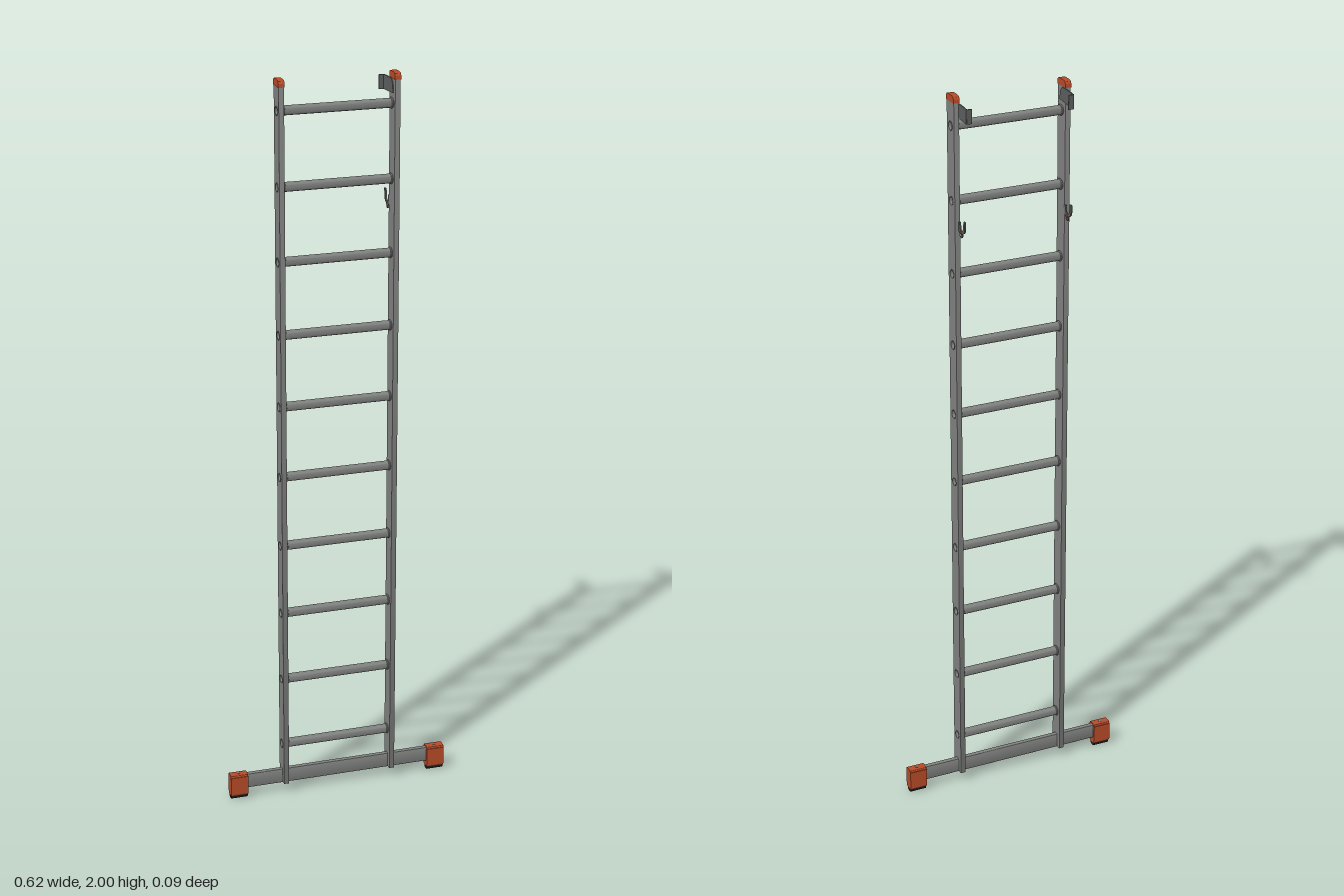
import * as THREE from 'three';
import { toCreasedNormals } from 'three/addons/utils/BufferGeometryUtils.js';

export function createModel() {
  const model = new THREE.Group();
  model.name = 'ladder';

  const mat = (name, color) => {
    const m = new THREE.MeshStandardMaterial({ color });
    m.name = name;
    return m;
  };
  const metal = mat('aluminium grey', 0x7e807e);
  const steel = mat('dark steel', 0x5c5e5d);
  const orange = mat('orange plastic', 0xb64a28);
  const rubber = mat('black rubber', 0x1c1c1c);

  const add = (name, geo, material, x = 0, y = 0, z = 0) => {
    const m = new THREE.Mesh(geo, material);
    m.name = name;
    m.position.set(x, y, z);
    model.add(m);
    return m;
  };

  // Extrudes a profile across x, centred; profile u points backwards (-z), v up
  const across = (shape, width) => {
    const g = new THREE.ExtrudeGeometry(shape, { depth: width, bevelEnabled: false, curveSegments: 12 });
    g.translate(0, 0, -width / 2).rotateY(Math.PI / 2);
    return toCreasedNormals(g, 0.7);
  };
  const roundRect = (w, h, r) => {
    const s = new THREE.Shape(), a = w / 2, b = h / 2;
    s.moveTo(-a + r, -b).lineTo(a - r, -b).quadraticCurveTo(a, -b, a, -b + r);
    s.lineTo(a, b - r).quadraticCurveTo(a, b, a - r, b);
    s.lineTo(-a + r, b).quadraticCurveTo(-a, b, -a, b - r);
    s.lineTo(-a, -b + r).quadraticCurveTo(-a, -b, -a + r, -b);
    return s;
  };
  const circle = (r, x = 0, y = 0) => {
    const p = new THREE.Path();
    p.absarc(x, y, r, 0, Math.PI * 2, true);
    return p;
  };

  const railX = 0.153, railW = 0.014, railZ = 0.022, railD = 0.044;
  const rungR = 0.0125, bore = 0.0105;
  const rungY = Array.from({ length: 10 }, (_, i) => 0.146 + i * 0.197);

  // Side rails, pierced where the hollow rungs pass through
  const railBottom = 0.03, railTop = 1.985;
  const railMid = (railBottom + railTop) / 2;
  const railShape = roundRect(railD, railTop - railBottom, 0.002);
  rungY.forEach((y) => railShape.holes.push(circle(bore, 0, y - railMid)));
  const railGeo = across(railShape, railW);

  // Rounded rail end cap
  const capShape = new THREE.Shape();
  capShape.moveTo(-0.023, 0).lineTo(0.023, 0).lineTo(0.023, 0.009);
  capShape.quadraticCurveTo(0.021, 0.018, 0.012, 0.018).lineTo(-0.012, 0.018);
  capShape.quadraticCurveTo(-0.021, 0.018, -0.023, 0.009);
  const capGeo = across(capShape, 0.0165);

  // Hollow rungs with a swaged collar beside each rail
  const rungShape = new THREE.Shape();
  rungShape.absarc(0, 0, rungR, 0, Math.PI * 2, false);
  rungShape.holes.push(circle(bore));
  const rungGeo = across(rungShape, 2 * (railX + railW / 2) + 0.002);
  const collarGeo = new THREE.TorusGeometry(rungR, 0.0022, 8, 24).rotateY(Math.PI / 2);
  rungY.forEach((y) => {
    add('rung', rungGeo, metal, 0, y, railZ);
    for (const s of [-1, 1]) add('rungCollar', collarGeo, metal, s * 0.143, y, railZ);
  });

  // Stabiliser bar
  add('stabiliserBar', across(roundRect(0.014, 0.042, 0.003), 0.57), metal, 0, 0.049, railZ);

  // Foot profile, rubber sole and cap ribs
  const footShape = roundRect(0.026, 0.062, 0.004);
  const footGeo = across(footShape, 0.049);
  const soleShape = new THREE.Shape();
  soleShape.moveTo(-0.012, 0.012).lineTo(-0.01, 0.003).quadraticCurveTo(0, -0.003, 0.01, 0.003);
  soleShape.lineTo(0.012, 0.012);
  const soleGeo = across(soleShape, 0.046);
  const ribGeo = new THREE.BoxGeometry(0.049, 0.05, 0.003);
  const screwGeo = new THREE.CylinderGeometry(0.004, 0.004, 0.002, 16);

  // Latch hook profile: a J reaching back from the rail
  const hookShape = new THREE.Shape();
  hookShape.moveTo(-0.006, 1.672).lineTo(0.006, 1.672).lineTo(0.008, 1.655);
  hookShape.quadraticCurveTo(0.018, 1.648, 0.026, 1.658).lineTo(0.03, 1.682);
  hookShape.lineTo(0.038, 1.682).lineTo(0.037, 1.66);
  hookShape.quadraticCurveTo(0.033, 1.648, 0.022, 1.646).lineTo(0.018, 1.634).lineTo(0.011, 1.634);
  hookShape.lineTo(0.01, 1.643).lineTo(-0.006, 1.65);
  const hookGeo = across(hookShape, 0.004);

  // Top bracket side plate with clipped rear corner
  const plateShape = new THREE.Shape();
  plateShape.moveTo(-0.03, 1.945).lineTo(0.046, 1.94).lineTo(0.046, 1.978).lineTo(0.02, 1.98);
  plateShape.lineTo(-0.015, 1.98).quadraticCurveTo(-0.03, 1.975, -0.03, 1.945);
  const plateGeo = across(plateShape, 0.003);

  for (const s of [-1, 1]) {
    add('sideRail', railGeo, metal, s * railX, railMid, railZ);
    add('railCap', capGeo, orange, s * railX, 1.982, railZ);

    add('footCap', footGeo, orange, s * 0.285, 0.042, railZ);
    add('footSole', soleGeo, rubber, s * 0.285, 0.0003, railZ);
    for (const e of [-1, 1]) add('footRib', ribGeo, orange, s * 0.285, 0.042, railZ + e * 0.0135);
    add('footScrew', screwGeo, metal, s * 0.285, 0.0732, railZ);

    add('topBracketPlate', plateGeo, steel, s * 0.1455, 0, 0);
    add('topBracketLip', new THREE.BoxGeometry(0.014, 0.038, 0.003), steel, s * 0.139, 1.959, -0.0455);
    add('latchHook', hookGeo, steel, s * 0.148, 0, 0);
    add('latchPad', new THREE.BoxGeometry(0.006, 0.006, 0.008), orange, s * 0.148, 1.646, -0.013);
  }
  return model;
}
